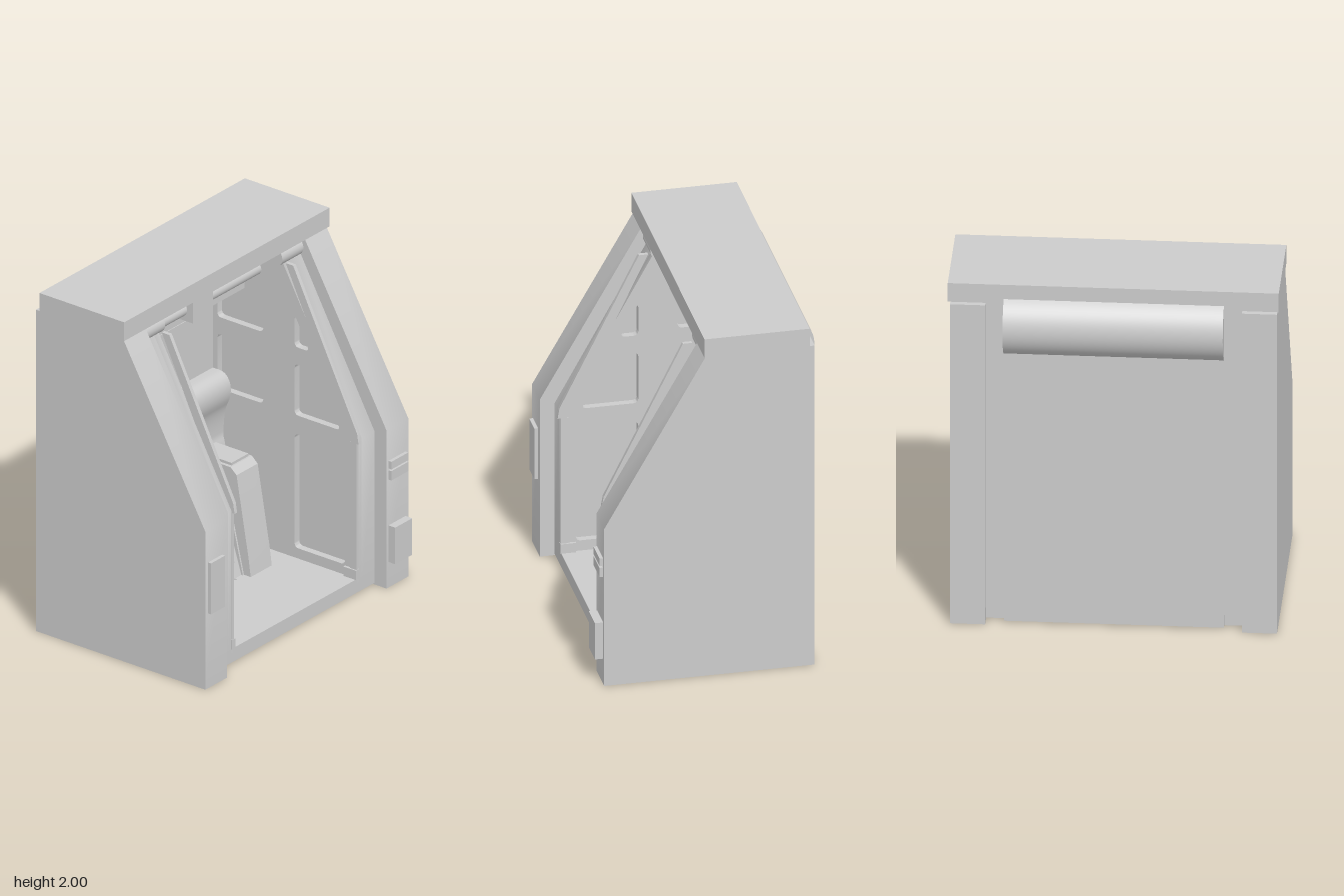
import * as THREE from 'three';
import { toCreasedNormals } from 'three/addons/utils/BufferGeometryUtils.js';

const MID = -0.007; // centre line of the cabinet

export function createModel() {
  const root = new THREE.Group();
  const mat = new THREE.MeshStandardMaterial({ color: 0xcccccc });

  function add(name, geo) {
    const mesh = new THREE.Mesh(geo, mat);
    mesh.name = name;
    root.add(mesh);
  }
  // Box given by its limits
  function box(name, x0, x1, y0, y1, z0, z1) {
    const g = new THREE.BoxGeometry(x1 - x0, y1 - y0, z1 - z0);
    g.translate((x0 + x1) / 2, (y0 + y1) / 2, (z0 + z1) / 2);
    add(name, g);
  }
  // Closed window outline with rounded corners
  function roundedHole(pts, r) {
    const path = new THREE.Path();
    const v = pts.map(p => new THREE.Vector2(...p));
    v.forEach((c, i) => {
      const toward = q => c.clone().add(q.clone().sub(c).setLength(r));
      const a = toward(v[(i + v.length - 1) % v.length]);
      const b = toward(v[(i + 1) % v.length]);
      if (i === 0) path.moveTo(a.x, a.y);
      else path.lineTo(a.x, a.y);
      path.quadraticCurveTo(c.x, c.y, b.x, b.y);
    });
    path.closePath();
    return path;
  }
  const polygon = pts => new THREE.Shape(pts.map(p => new THREE.Vector2(...p)));
  // Side profile in (z, y) extruded from x0 to x1
  function profile(name, shape, x0, x1) {
    const g = new THREE.ExtrudeGeometry(shape, { depth: x1 - x0, bevelEnabled: false, curveSegments: 10 });
    g.rotateY(-Math.PI / 2).translate(x1, 0, 0);
    add(name, toCreasedNormals(g, 0.6));
  }
  // Horizontal rod along x
  function rod(name, x0, x1, y, z, r) {
    const g = new THREE.CylinderGeometry(r, r, x1 - x0, 20);
    g.rotateZ(Math.PI / 2).translate((x0 + x1) / 2, y, z);
    add(name, g);
  }
  const rect = (z0, z1, y0, y1) => [[z0, y0], [z1, y0], [z1, y1], [z0, y1]];
  // Limits at half-widths a..b on side s
  const span = (s, a, b) => (s > 0 ? [MID + a, MID + b] : [MID - b, MID - a]);

  // Cabinet sides, door frames and panelled linings
  const outer = polygon([[-0.56, 0], [0.58, 0], [0.58, 0.93], [0.03, 1.89], [-0.56, 1.89]]);
  const innerPts = [[-0.5, 0.01], [0.5, 0.01], [0.5, 0.9], [0, 1.8], [0, 1.89], [-0.5, 1.89]];
  const inner = polygon(innerPts);
  const lining = polygon(innerPts);
  lining.holes = [
    rect(0.08, 0.42, 0.15, 0.82),
    [[0.08, 0.93], [0.39, 0.93], [0.23, 1.23], [0.08, 1.23]],
    [[0.08, 1.33], [0.18, 1.33], [0.08, 1.52]],
    rect(-0.44, -0.13, 0.15, 0.82),
    rect(-0.44, -0.13, 0.93, 1.25),
    rect(-0.44, -0.13, 1.35, 1.75),
  ].map(pts => roundedHole(pts, 0.03));
  const rail = polygon([[0.47, 0.89], [0.52, 0.89], [0.51, 0.95], [0.08, 1.81], [0.03, 1.81]]);
  for (const s of [-1, 1]) {
    profile('sidePanel', outer, ...span(s, 0.68, 0.866));
    profile('doorFrame', inner, ...span(s, 0.57, 0.68));
    profile('panelledLining', lining, ...span(s, 0.53, 0.57));
    profile('slantedRail', rail, ...span(s, 0.518, 0.54));
    box('lowerRail', ...span(s, 0.523, 0.54), 0.14, 0.89, 0.46, 0.503);
    box('railFoot', ...span(s, 0.515, 0.545), 0.09, 0.145, 0.42, 0.505);
    rod('shaftHousing', ...span(s, 0.5, 0.68), 1.835, -0.03, 0.052);
    // Rear corner strip, short of the floor
    box('rearStrip', ...span(s, 0.58, 0.68), 0.08, 1.89, -0.52, -0.46);
  }

  // Roof, floor and back wall
  box('roof', -0.88, 0.873, 1.89, 2, -0.53, 0.04);
  box('floor', -0.69, 0.674, 0.01, 0.09, -0.45, 0.5);
  box('backWall', -0.59, 0.574, 0.01, 1.89, -0.53, -0.49);
  box('floorRear', -0.59, 0.574, 0.01, 0.09, -0.5, -0.44);
  box('innerBackPanel', -0.54, 0.525, 0.09, 1.4, -0.5, -0.47);

  // Rolled shutter housing on the back
  const drum = [];
  for (let i = 0; i <= 20; i++) {
    const a = 1.02 * (i / 10 - 1);
    drum.push([-0.425 - 0.197 * Math.cos(a), 1.755 + 0.19 * Math.sin(a)]);
  }
  drum.push([-0.5, 1.9], [-0.5, 1.6]);
  profile('shutterHousing', polygon(drum), -0.59, 0.577);

  // Shutter rollers below the roof
  for (const s of [-1, 1]) {
    rod('upperRod', ...span(s, 0.1, 0.53), 1.835, -0.16, 0.014);
    rod('upperRod', ...span(s, 0.1, 0.53), 1.798, -0.14, 0.014);
    rod('roller', ...span(s, 0.105, 0.53), 1.715, -0.18, 0.037);
  }
  rod('spindle', -0.2, 0.19, 1.715, -0.18, 0.02);
  rod('rearRoller', -0.54, 0.525, 1.65, -0.28, 0.032);
  box('rollerBeam', -0.54, 0.525, 1.57, 1.61, -0.32, -0.26);
  box('motor', -0.09, 0.08, 1.64, 1.87, -0.26, -0.12);
  box('motorPlate', -0.13, 0.14, 1.865, 1.89, -0.28, -0.04);

  // Curved backrest and headrest
  const back = new THREE.Shape();
  back.moveTo(-0.48, 0.09);
  back.lineTo(-0.38, 0.09);
  back.lineTo(-0.38, 0.52);
  back.quadraticCurveTo(-0.38, 0.6, -0.4, 0.66);
  back.quadraticCurveTo(-0.4, 0.8, -0.37, 0.86);
  back.bezierCurveTo(-0.33, 0.94, -0.35, 1.04, -0.43, 1.04);
  back.lineTo(-0.48, 1.04);
  profile('backrest', back, -0.54, 0.525);
  const headrest = polygon([[-0.48, 1.0], [-0.36, 0.99], [-0.36, 1.03], [-0.41, 1.075], [-0.48, 1.075]]);
  profile('headrest', headrest, -0.16, 0.14);

  // Side consoles flanking the seat
  const consoleSide = polygon([[-0.4, 0.09], [0.045, 0.09], [0.03, 0.2], [-0.05, 0.66], [-0.09, 0.695], [-0.34, 0.695], [-0.4, 0.6]]);
  const seatSide = polygon([[-0.4, 0.09], [0, 0.09], [-0.12, 0.6], [-0.16, 0.64], [-0.4, 0.64]]);
  for (const s of [-1, 1]) {
    profile('console', consoleSide, ...span(s, 0.2, 0.38));
    box('consoleTop', ...span(s, 0.22, 0.365), 0.69, 0.71, -0.32, -0.1);
    profile('seatSide', seatSide, ...span(s, 0.19, 0.205));
  }

  // Seat cushion with a bowed front
  const seat = new THREE.Shape();
  seat.moveTo(-0.2, 0.4);
  seat.lineTo(-0.2, 0.11);
  seat.quadraticCurveTo(MID, 0, 0.185, 0.11);
  seat.lineTo(0.185, 0.4);
  const seatGeo = new THREE.ExtrudeGeometry(seat, { depth: 0.09, bevelEnabled: false, curveSegments: 16 });
  seatGeo.rotateX(-Math.PI / 2).translate(0, 0.38, 0);
  add('seatCushion', toCreasedNormals(seatGeo, 0.6));

  // Sloped riser with bent vent slats
  profile('seatRiser', polygon([[-0.4, 0.09], [-0.01, 0.09], [-0.1, 0.38], [-0.4, 0.38]]), -0.2, 0.185);
  const slat = polygon([[-0.16, -0.025], [-0.12, 0], [0.105, 0], [0.145, -0.025],
    [0.145, -0.017], [0.108, 0.008], [-0.123, 0.008], [-0.16, -0.017]]);
  for (const y of [0.1, 0.2, 0.3]) {
    const g = new THREE.ExtrudeGeometry(slat, { depth: 0.05, bevelEnabled: false });
    add('ventSlat', g.translate(0, y - 0.005, -0.045 - (y - 0.1) * 0.3));
  }

  // Front fittings on the cabinet sides
  box('noticePlate', -0.85, -0.73, 0.44, 0.74, 0.57, 0.6);
  box('coinBox', 0.69, 0.835, 0.15, 0.365, 0.57, 0.625);
  box('lowerSlot', 0.69, 0.835, 0.635, 0.69, 0.57, 0.6);
  box('upperSlot', 0.69, 0.835, 0.7, 0.745, 0.57, 0.6);

  return root;
}
